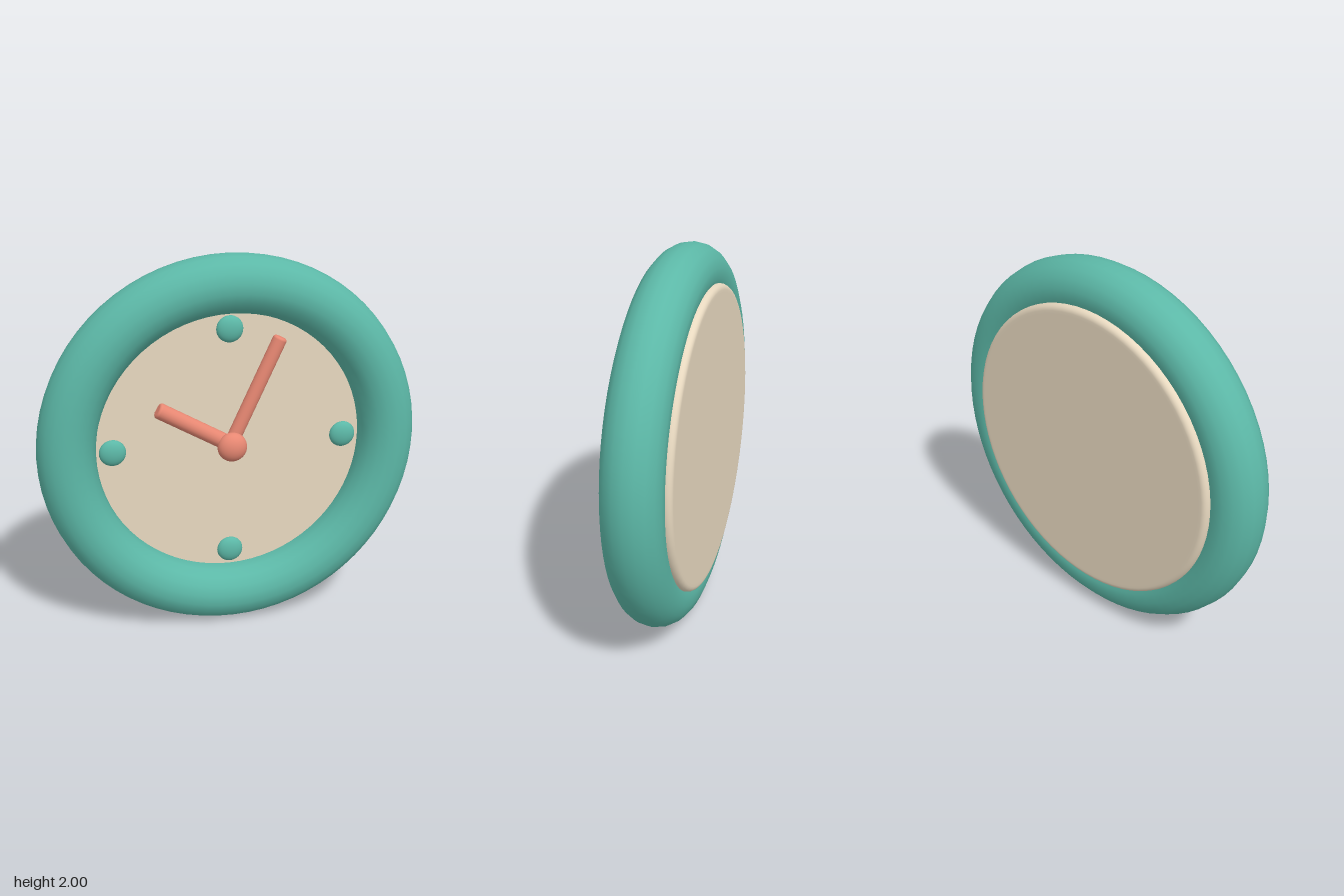
import * as THREE from 'three';

const teal = new THREE.MeshStandardMaterial({ color: 0x5cb8a7 });
const coral = new THREE.MeshStandardMaterial({ color: 0xe88873 });
const cream = new THREE.MeshStandardMaterial({ color: 0xe8d9c0 });

// Solid cylinder along y from 0 to length, with rounded rims
function roundedCylinder(radius, length, bevel, segments) {
  const inner = radius - bevel;
  const pts = [new THREE.Vector2(0, 0), new THREE.Vector2(inner * 0.98, 0)];
  for (const [cy, start] of [[bevel, -Math.PI / 2], [length - bevel, 0]]) {
    for (let i = 0; i <= 5; i++) {
      const a = start + (i / 5) * Math.PI / 2;
      pts.push(new THREE.Vector2(inner + Math.cos(a) * bevel, cy + Math.sin(a) * bevel));
    }
  }
  pts.push(new THREE.Vector2(inner * 0.98, length), new THREE.Vector2(0, length));
  return new THREE.LatheGeometry(pts, segments);
}

export function createModel() {
  const clock = new THREE.Group();
  clock.name = 'wallClock';

  function add(name, geometry, material, x, y, z) {
    const mesh = new THREE.Mesh(geometry, material);
    mesh.name = name;
    mesh.position.set(x, y, z);
    clock.add(mesh);
    return mesh;
  }

  // Ring-shaped frame
  add('frame', new THREE.TorusGeometry(0.85, 0.15, 18, 72), teal, 0, 1, 0.012);

  // Dial, which also closes the back
  const dial = add('dial', roundedCylinder(0.8, 0.16, 0.03, 72), cream, 0, 1, -0.16);
  dial.rotation.x = Math.PI / 2;

  // Four flattened hour markers
  for (let i = 0; i < 4; i++) {
    const a = i * Math.PI / 2;
    const marker = add('hourMarker', new THREE.SphereGeometry(0.07, 24, 16), teal,
      Math.sin(a) * 0.615, 1 + Math.cos(a) * 0.615, 0.002);
    marker.scale.z = 0.5;
  }

  // Hands, turned clockwise from twelve
  const hands = [
    ['hourHand', 0.042, 0.44, -60],
    ['minuteHand', 0.037, 0.62, 25],
  ];
  for (const [name, radius, length, degrees] of hands) {
    const hand = add(name, roundedCylinder(radius, length, 0.014, 20), coral, 0, 1, 0.02);
    hand.rotation.z = -THREE.MathUtils.degToRad(degrees);
  }

  // Centre cap over the hands
  const hub = add('hub', new THREE.SphereGeometry(0.078, 28, 18), coral, 0, 1, 0.06);
  hub.scale.z = 0.7;

  return clock;
}
